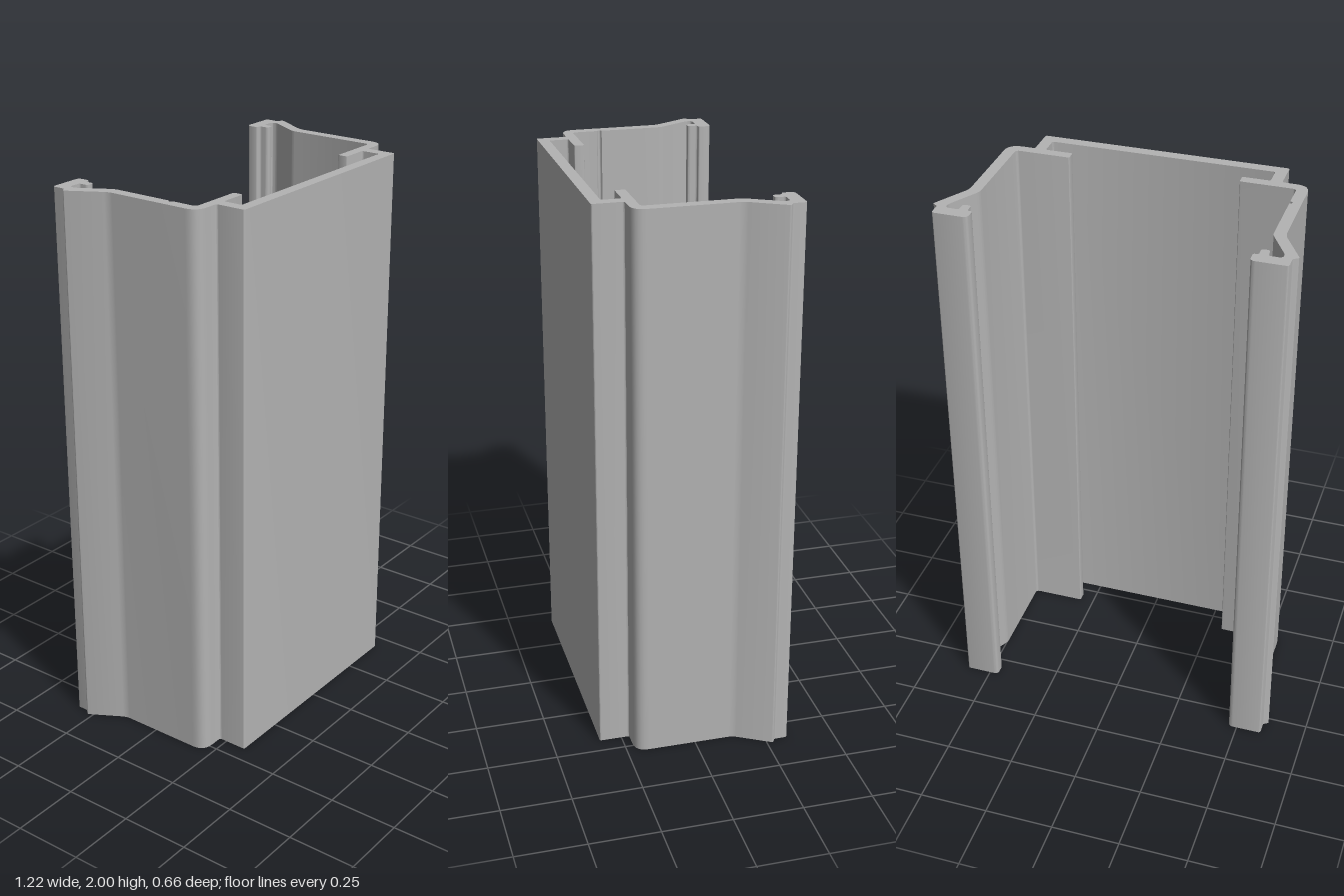
import * as THREE from 'three';
import { toCreasedNormals } from 'three/addons/utils/BufferGeometryUtils.js';

const HEIGHT = 2;

// Left half of the section as [x, z, corner radius], from the front face round to the inside
const half = [
  // front channel and rounded outer wall
  [0.44, 0.33, 0.008], [0.44, 0.221, 0.008], [0.537, 0.221, 0.05], [0.537, -0.141, 0.02],
  // flared lip and hooked rear flange
  [0.612, -0.272, 0.008], [0.592, -0.284, 0.004], [0.592, -0.332, 0.01],
  [0.467, -0.332, 0.018], [0.467, -0.286, 0.008], [0.485, -0.286, 0.008],
  [0.485, -0.25, 0.012], [0.515, -0.25, 0.012], [0.515, -0.286, 0.008],
  [0.562, -0.286, 0.014], [0.562, -0.262, 0.012],
  // inner wall and inward ledge
  [0.497, -0.148, 0.015], [0.497, 0.185, 0.015], [0.302, 0.185, 0.005],
  [0.302, 0.221, 0.005], [0.4, 0.221, 0.008], [0.4, 0.29, 0.008],
];

// Small marking groove cut in the right inner wall
const groove = [[-0.497, 0.076, 0], [-0.506, 0.081, 0.003], [-0.506, 0.089, 0.003], [-0.497, 0.094, 0]];

// Closed shape with each corner rounded by an arc-like curve
function roundedShape(corners) {
  const shape = new THREE.Shape();
  const n = corners.length;
  corners.forEach(([x, z, r], i) => {
    const p = new THREE.Vector2(x, z);
    const towards = ([qx, qz]) =>
      new THREE.Vector2(qx, qz).sub(p).setLength(r).add(p);
    const a = towards(corners[(i + n - 1) % n]);
    const b = towards(corners[(i + 1) % n]);
    if (i === 0) shape.moveTo(a.x, a.y);
    else shape.lineTo(a.x, a.y);
    if (r > 0) shape.quadraticCurveTo(x, z, b.x, b.y);
  });
  shape.closePath();
  return shape;
}

export function createModel() {
  const aluminium = new THREE.MeshStandardMaterial({ color: 0xb3b3b3 });
  aluminium.name = 'aluminium grey';

  // Mirror the half section, adding the groove between ledge and wall bend
  const mirrored = half.map(([x, z, r]) => [-x, z, r]).reverse();
  const bend = mirrored.findIndex(([x, z]) => x === -0.497 && z < 0);
  mirrored.splice(bend, 0, ...groove.slice().reverse());

  // Extrude the section upright
  const extrusion = new THREE.ExtrudeGeometry(roundedShape([...half, ...mirrored]), {
    depth: HEIGHT, bevelEnabled: false, curveSegments: 6,
  });
  extrusion.rotateX(Math.PI / 2);
  extrusion.translate(0, HEIGHT, 0);

  const profile = new THREE.Mesh(toCreasedNormals(extrusion, 0.42), aluminium);
  profile.name = 'channelProfile';

  const group = new THREE.Group();
  group.name = 'extrudedChannel';
  group.add(profile);
  return group;
}
